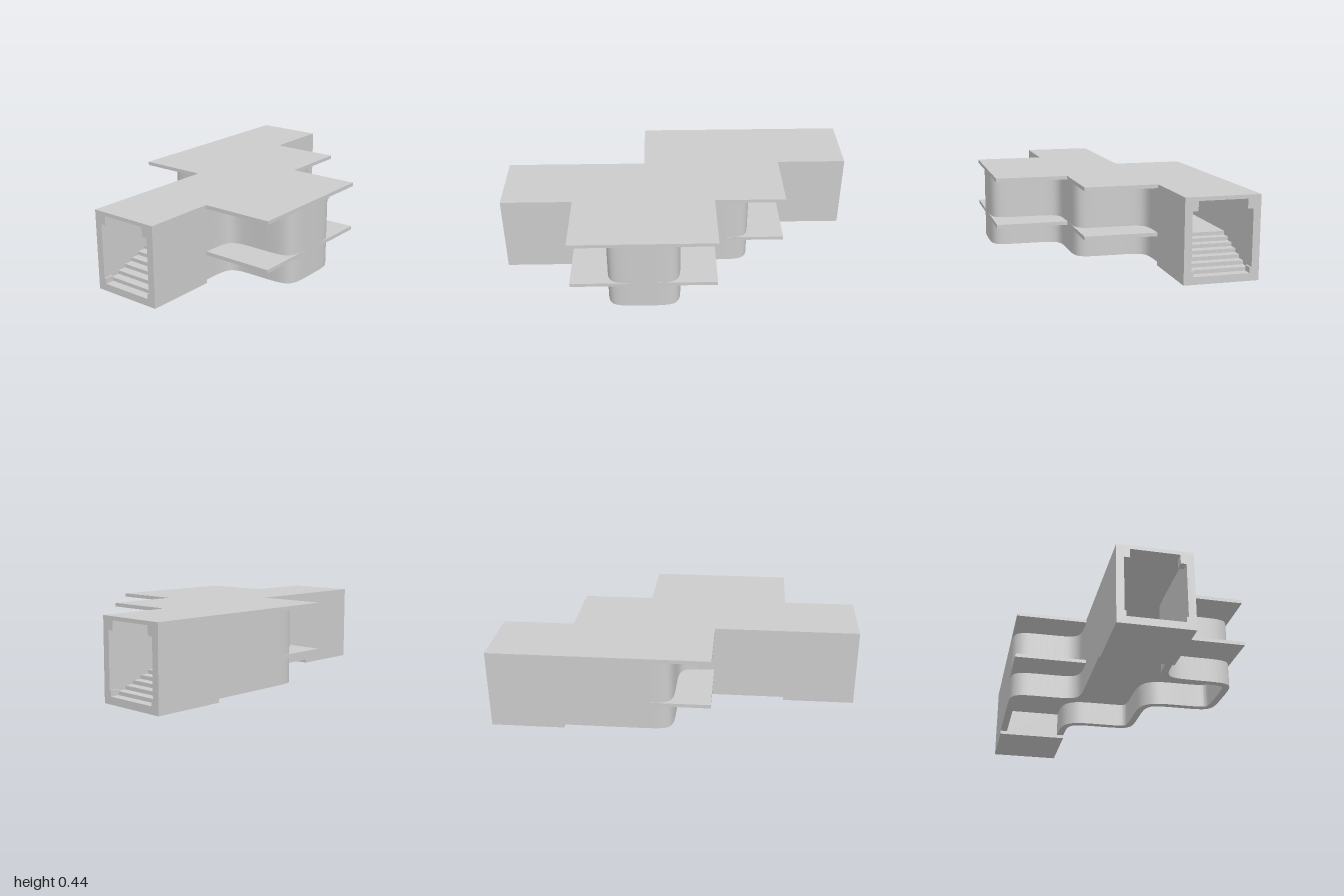
import * as THREE from 'three';
import { toCreasedNormals } from 'three/addons/utils/BufferGeometryUtils.js';

const material = new THREE.MeshStandardMaterial({ color: 0xcccccc, side: THREE.DoubleSide });

function addMesh(parent, name, geometry) {
  const mesh = new THREE.Mesh(geometry, material);
  mesh.name = name;
  parent.add(mesh);
  return mesh;
}

function addBox(parent, name, x0, x1, y0, y1, z0, z1) {
  const mesh = addMesh(parent, name, new THREE.BoxGeometry(x1 - x0, y1 - y0, z1 - z0));
  mesh.position.set((x0 + x1) / 2, (y0 + y1) / 2, (z0 + z1) / 2);
}

// Extrudes a plan outline of [x, z] points from height y0 to y1
function slab(points, y0, y1) {
  const shape = new THREE.Shape(points.map(([x, z]) => new THREE.Vector2(x, -z)));
  const geo = new THREE.ExtrudeGeometry(shape, { depth: y1 - y0, bevelEnabled: false });
  geo.rotateX(-Math.PI / 2).translate(0, y0, 0);
  return toCreasedNormals(geo, 0.6);
}

// Wall centreline: straight start, a chain of rounded corners, straight end
function wallPath(start, nodes, corners, end) {
  const pts = [start, nodes[0]];
  const v = ([x, z]) => new THREE.Vector2(x, z);
  corners.forEach((c, i) => {
    const curve = new THREE.CubicBezierCurve(v(nodes[i]), v(c), v(c), v(nodes[i + 1]));
    curve.getPoints(14).slice(1).forEach(p => pts.push([p.x, p.y]));
  });
  pts.push(end);
  return pts;
}

// Closes a path into a band of the given thickness, on the right of travel
function band(path, t) {
  const inner = path.map(([x, z], i) => {
    const a = path[Math.max(i - 1, 0)], b = path[Math.min(i + 1, path.length - 1)];
    const dx = b[0] - a[0], dz = b[1] - a[1], l = Math.hypot(dx, dz);
    return [x - (dz / l) * t, z + (dx / l) * t];
  });
  return [...path, ...inner.reverse()];
}

// End section: floor, entry corner blocks and a flight of steps (opening at +z)
function endSection(name) {
  const g = new THREE.Group();
  g.name = name;
  addBox(g, 'entryFloor', -0.2, 0.2, 0, 0.02, 0.6, 1);
  for (const s of [-1, 1]) {
    const [a, b] = s < 0 ? [-0.16, -0.13] : [0.13, 0.16];
    addBox(g, 'upperCornerBlock', a, b, 0.37, 0.42, 0.95, 1);
    const [c, d] = s < 0 ? [-0.16, -0.15] : [0.15, 0.16];
    addBox(g, 'lowerCornerBlock', c, d, 0.02, 0.07, 0.95, 1);
  }
  const profile = new THREE.Shape();
  profile.moveTo(0, 0.02);
  for (let i = 0; i < 8; i++) {
    const y = 0.04 + i * 0.02;
    profile.lineTo(i * 0.05, y);
    profile.lineTo((i + 1) * 0.05, y);
  }
  profile.lineTo(0.4, 0.02);
  const geo = new THREE.ExtrudeGeometry(profile, { depth: 0.32, bevelEnabled: false });
  geo.translate(0, 0, -0.16).rotateY(Math.PI / 2).translate(0, 0, 1);
  addMesh(g, 'steps', geo);
  return g;
}

export function createModel() {
  const model = new THREE.Group();
  model.name = 'steppedTunnel';

  // Roof over the whole stepped plan
  const roof = [[-0.6, -1], [-0.2, -1], [-0.2, -0.6], [0.2, -0.6], [0.2, -0.2], [0.6, -0.2],
    [0.6, 0.6], [0.2, 0.6], [0.2, 1], [-0.2, 1], [-0.2, 0.2], [-0.6, 0.2]];
  addMesh(model, 'roof', slab(roof, 0.42, 0.44));

  // Deck that sticks out past the walls as a ledge
  const deck = [[-0.6, -0.6], [0.2, -0.6], [0.2, -0.2], [0.6, -0.2],
    [0.6, 0.6], [-0.2, 0.6], [-0.2, 0.2], [-0.6, 0.2]];
  addMesh(model, 'deck', slab(deck, 0.16, 0.18));

  // Winding side walls
  const east = wallPath([-0.2, -1],
    [[-0.2, -0.6], [0, -0.4], [0.2, -0.2], [0.4, 0], [0.6, 0.2], [0.4, 0.4], [0.2, 0.6]],
    [[-0.2, -0.4], [0.2, -0.4], [0.2, 0], [0.6, 0], [0.6, 0.4], [0.2, 0.4]],
    [0.2, 1]);
  const west = wallPath([-0.2, 1],
    [[-0.2, 0.2], [-0.4, 0], [-0.6, -0.2]],
    [[-0.2, 0], [-0.6, 0]],
    [-0.6, -1]);
  addMesh(model, 'leftWall', slab(band(east, 0.04), 0.02, 0.42));
  addMesh(model, 'rightWall', slab(band(west, 0.04), 0.02, 0.42));

  // Entrances at both ends
  model.add(endSection('frontEntrance'));
  const back = endSection('backEntrance');
  back.rotation.y = Math.PI;
  back.position.x = -0.4;
  model.add(back);

  return model;
}
